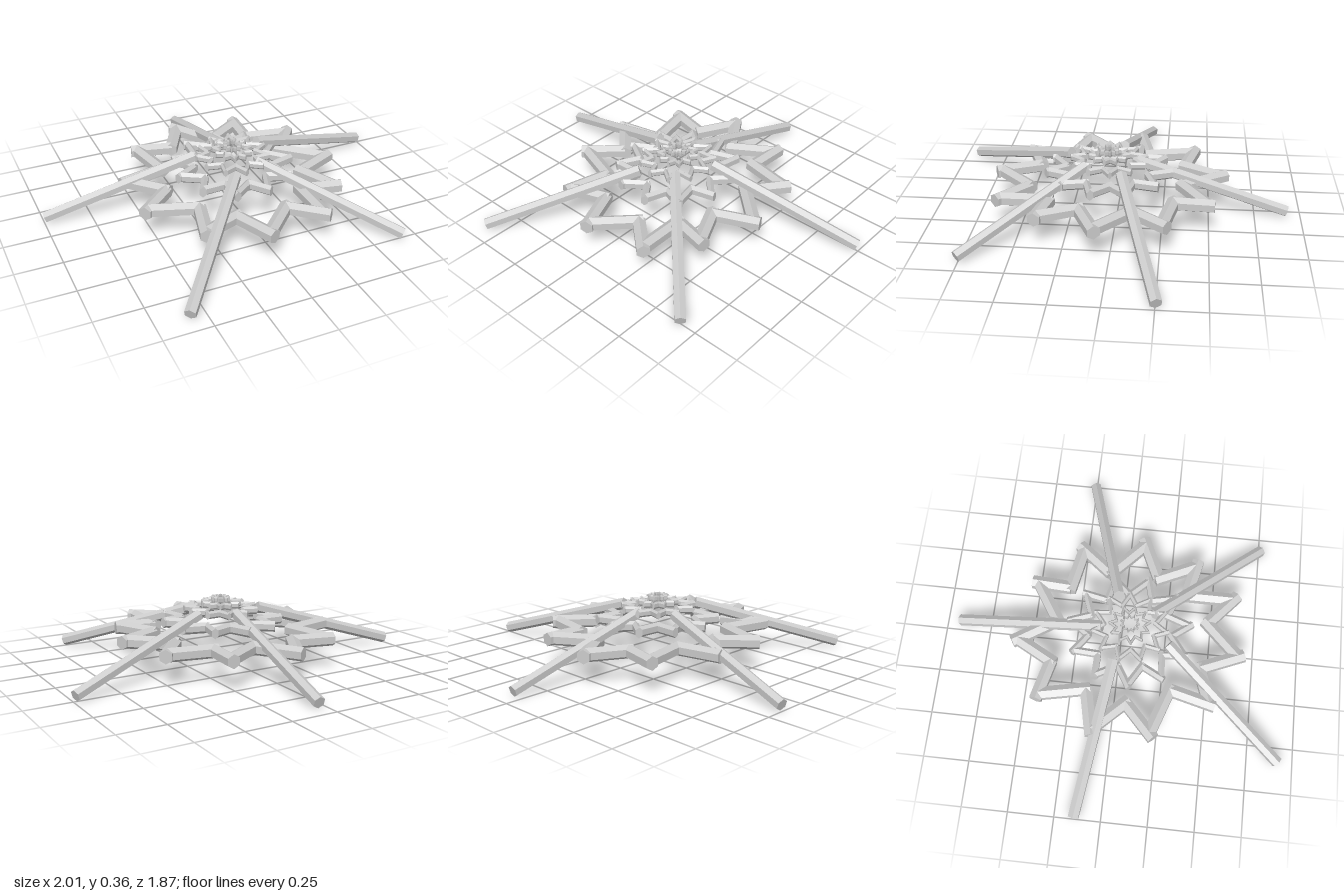
import * as THREE from 'three';

const material = new THREE.MeshStandardMaterial({ color: 0xcccccc, flatShading: true });
const POINTS = 11, RADIUS = 0.038;

// Six-sided beam from a to b, with an edge on top
function beam(a, b, radius, name) {
  const length = a.distanceTo(b);
  const geometry = new THREE.CylinderGeometry(radius, radius, length, 6).rotateX(Math.PI / 2);
  const mesh = new THREE.Mesh(geometry, material);
  mesh.name = name;
  mesh.position.copy(a).lerp(b, 0.5);
  mesh.lookAt(b);
  return mesh;
}

// Slightly uneven corners of the big ring: tip x, z and following notch x, z
const bigCorners = [
  [-0.09, -0.613, 0.043, -0.405], [0.257, -0.543, 0.246, -0.358], [0.489, -0.31, 0.358, -0.144],
  [0.556, 0.037, 0.353, 0.128], [0.45, 0.335, 0.267, 0.294], [0.267, 0.556, 0.112, 0.422],
  [-0.067, 0.604, -0.155, 0.396], [-0.35, 0.465, -0.294, 0.246], [-0.545, 0.16, -0.39, 0.016],
  [-0.556, -0.155, -0.337, -0.203], [-0.39, -0.46, -0.198, -0.412],
].flatMap(([tx, tz, nx, nz]) => [new THREE.Vector3(tx, 0, tz), new THREE.Vector3(nx, 0, nz)]);

// Even corners of an eleven-pointed star, turned by some degrees
function evenCorners(turn) {
  const corners = [];
  for (let i = 0; i < POINTS; i++) {
    for (const [offset, rx, rz] of [[-8, 0.575, 0.61], [6, 0.39, 0.425]]) {
      const a = THREE.MathUtils.degToRad(i * 360 / POINTS + offset + turn);
      corners.push(new THREE.Vector3(Math.sin(a) * rx, 0, -Math.cos(a) * rz));
    }
  }
  return corners;
}

// Zigzag ring; each beam starts slightly early to close the corner
function starRing(corners) {
  const ring = new THREE.Group();
  corners.forEach((start, i) => {
    const end = corners[(i + 1) % corners.length];
    const overlap = RADIUS * (i % 2 ? 0.6 : 0.9);
    const from = start.clone().addScaledVector(end.clone().sub(start).normalize(), -overlap);
    ring.add(beam(from, end, RADIUS, 'starBeam'));
  });
  return ring;
}

export function createModel() {
  const model = new THREE.Group();
  model.name = 'starCanopy';

  // Stack of shrinking star rings: height, plan scale, thickness scale, corners
  const rings = [
    [0.165, 1, 1, bigCorners],
    [0.23, 0.54, 0.78, evenCorners(13)],
    [0.29, 0.33, 0.55, evenCorners(28)],
    [0.317, 0.178, 0.5, evenCorners(42)],
    [0.342, 0.083, 0.47, evenCorners(56)],
  ];
  rings.forEach(([y, plan, thick, corners], i) => {
    const ring = starRing(corners);
    ring.name = 'starRing' + (i + 1);
    ring.position.set(0.013, y, 0.05);
    ring.scale.set(plan, thick, plan);
    model.add(ring);
  });

  // Five sloping legs: foot x, z and top x, z
  const legs = [
    ['backLeg', 0.048, -0.925, 0.003, -0.1],
    ['leftLeg', 0.99, -0.255, 0.195, -0.03],
    ['frontLeftLeg', 0.667, 0.76, 0.1, 0.17],
    ['frontRightLeg', -0.585, 0.915, -0.065, 0.265],
    ['rightLeg', -0.995, -0.145, -0.18, -0.02],
  ];
  for (const [name, fx, fz, tx, tz] of legs) {
    model.add(beam(new THREE.Vector3(fx, 0.034, fz), new THREE.Vector3(tx, 0.288, tz), 0.032, name));
  }
  return model;
}
